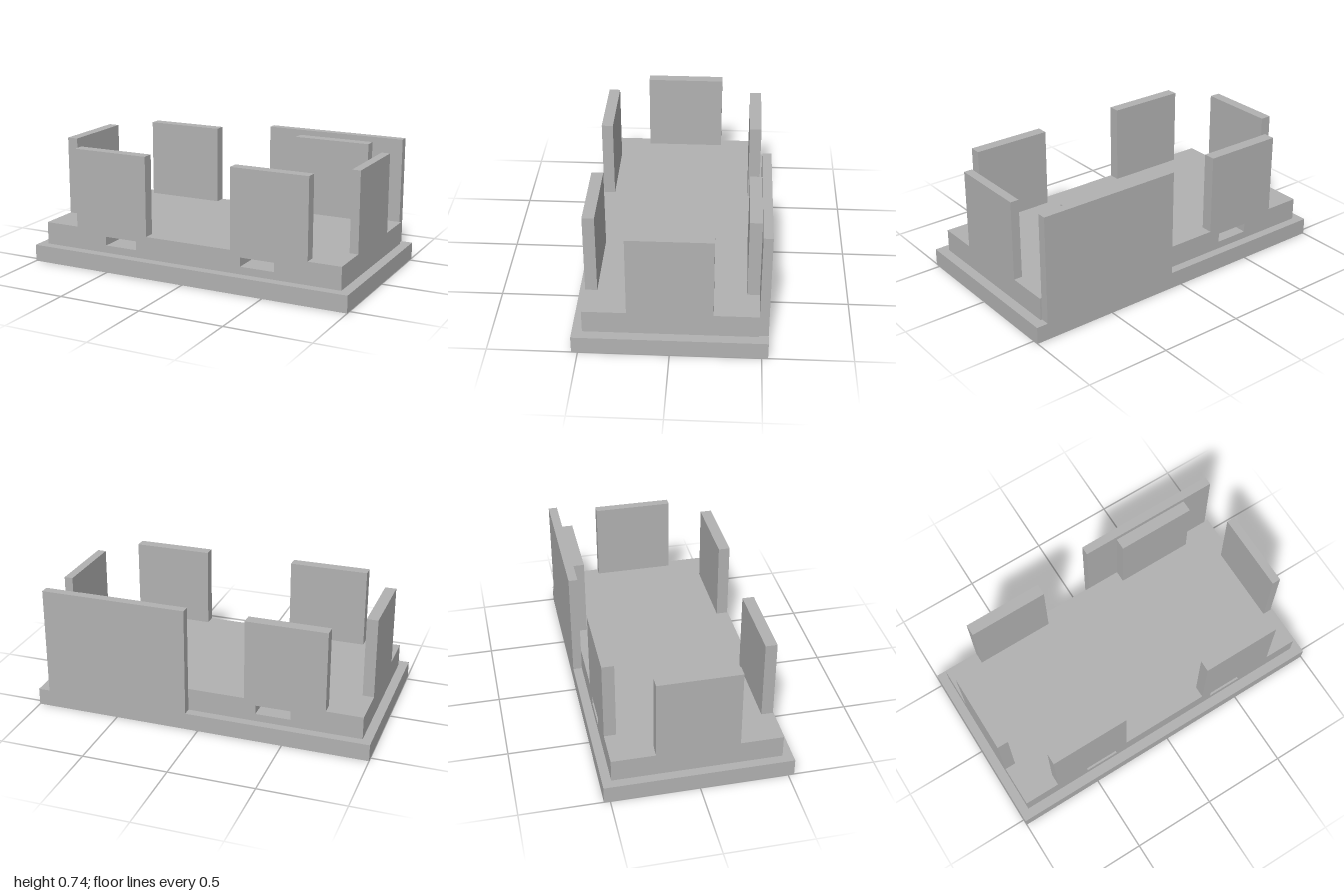
import * as THREE from 'three';

export function createModel() {
  const model = new THREE.Group();
  const grey = new THREE.MeshStandardMaterial({ color: 0xb2b2b2 });
  grey.name = 'grey';

  // Box given by its minimum and maximum on each axis
  const box = (name, x0, x1, y0, y1, z0, z1) => {
    const mesh = new THREE.Mesh(new THREE.BoxGeometry(x1 - x0, y1 - y0, z1 - z0), grey);
    mesh.position.set((x0 + x1) / 2, (y0 + y1) / 2, (z0 + z1) / 2);
    mesh.name = name;
    model.add(mesh);
  };

  const rect = (path, x0, x1, y0, y1) =>
    path.moveTo(x0, y0).lineTo(x1, y0).lineTo(x1, y1).lineTo(x0, y1).closePath();

  const baseTop = 0.1, blockTop = 0.234, panelTop = 0.706;
  const left = 0.942, right = -0.947, front = 0.478, back = -0.483;

  box('basePlate', -1, 1, 0, baseTop, -0.535, 0.535);

  // Raised block with two slots running front to back
  const profile = rect(new THREE.Shape(), right, left, baseTop, blockTop);
  for (const [x0, x1] of [[-0.535, -0.33], [0.341, 0.546]])
    profile.holes.push(rect(new THREE.Path(), x0, x1, 0.145, 0.198));
  const blockGeometry = new THREE.ExtrudeGeometry(profile, { depth: front - back, bevelEnabled: false });
  blockGeometry.translate(0, 0, back);
  const block = new THREE.Mesh(blockGeometry, grey);
  block.name = 'slottedBlock';
  model.add(block);

  // Upright panels along the front and back edges
  for (const [side, x0, x1] of [['Right', -0.734, -0.262], ['Left', 0.277, 0.745]]) {
    box('frontPanel' + side, x0, x1, blockTop, panelTop, 0.411, front);
    box('backPanel' + side, x0, x1, blockTop, panelTop, back, -0.414);
  }

  // Upright panels at the two ends
  box('endPanelRight', right, -0.882, blockTop, panelTop, -0.235, 0.235);
  box('endPanelLeft', 0.891, left, blockTop, panelTop, -0.235, 0.235);

  // Tall screen standing on the rear ledge of the base
  box('rearScreen', 0.073, 0.932, baseTop, 0.738, -0.535, back);

  return model;
}
